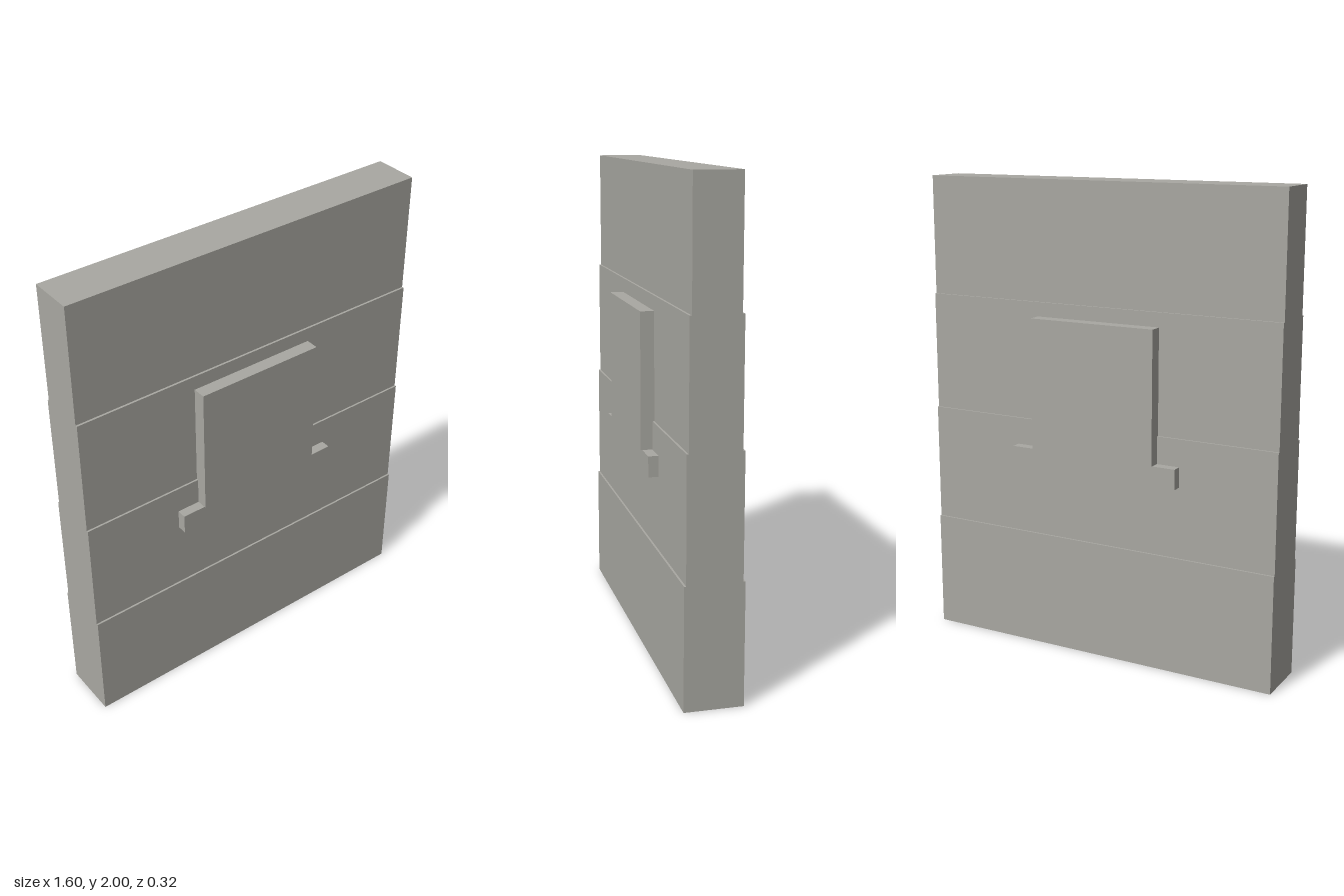
import * as THREE from 'three';

export function createModel() {
  const group = new THREE.Group();
  const concrete = new THREE.MeshStandardMaterial({ color: 0xa9a8a2 });
  concrete.name = 'concrete grey';

  // Box standing on height y0, centred on x and z
  const slab = (name, width, y0, y1, halfDepth) => {
    const mesh = new THREE.Mesh(new THREE.BoxGeometry(width, y1 - y0, halfDepth * 2), concrete);
    mesh.position.y = (y0 + y1) / 2;
    mesh.name = name;
    group.add(mesh);
  };

  // Wall courses, each a little thinner than the one below
  [0.118, 0.11, 0.102, 0.093].forEach((halfDepth, i) => {
    slab('wallCourse' + (i + 1), 1.6, i * 0.5, (i + 1) * 0.5, halfDepth);
  });

  // Raised panel and sill, passing through the wall to show on both faces
  slab('windowPanel', 0.56, 0.885, 1.44, 0.158);
  slab('windowSill', 0.76, 0.8, 0.885, 0.151);

  return group;
}
